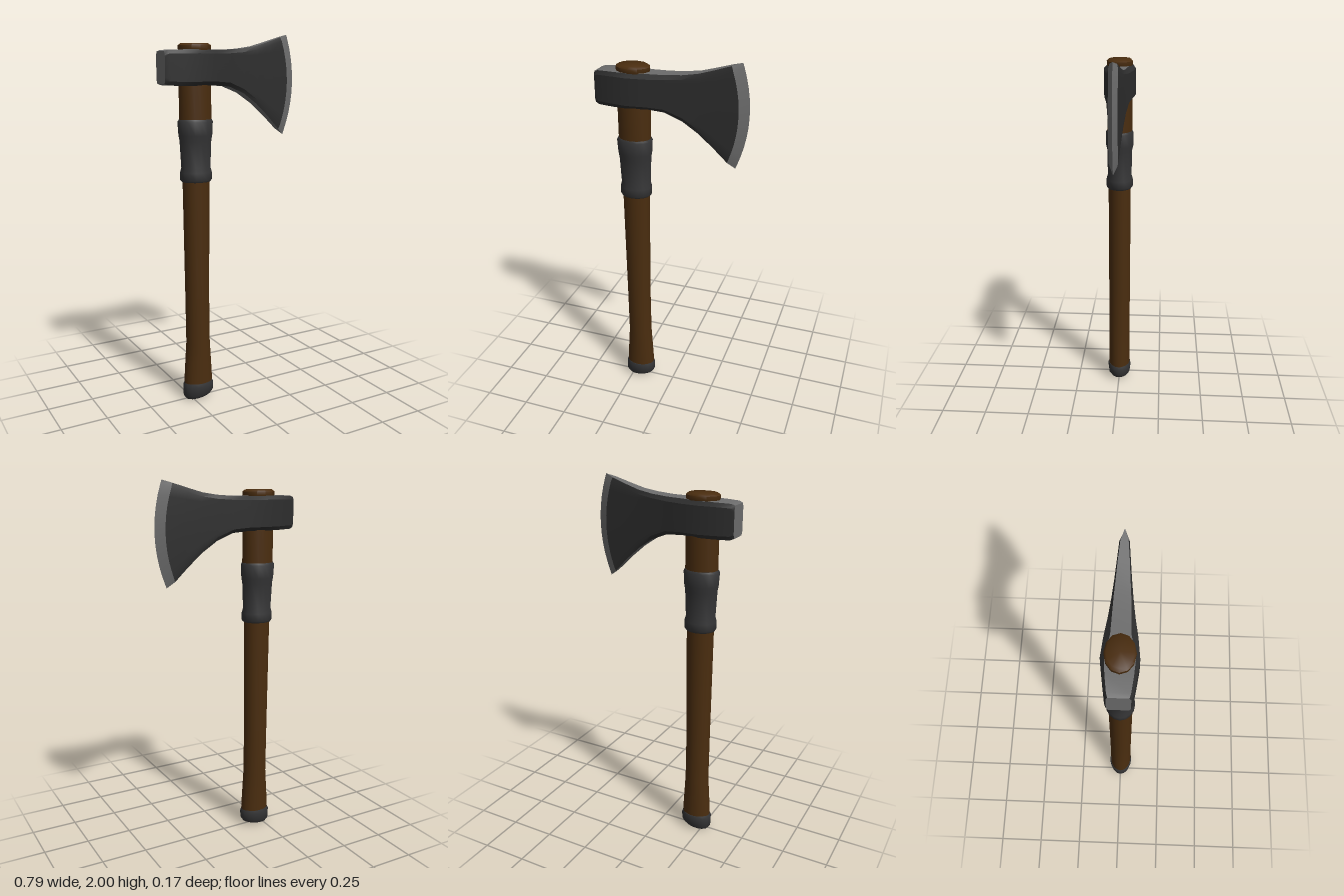
import * as THREE from 'three';
import { toCreasedNormals } from 'three/addons/utils/BufferGeometryUtils.js';

const mat = (name, color) => {
  const m = new THREE.MeshStandardMaterial({ color });
  m.name = name;
  return m;
};

// Quad patches from rows of points, skipping collapsed triangles
function patches(list, crease) {
  const out = [];
  const tri = (...p) => {
    const n = p[1].clone().sub(p[0]).cross(p[2].clone().sub(p[0]));
    if (n.length() > 1e-9) p.forEach(v => out.push(v.x, v.y, v.z));
  };
  for (const rows of list)
    for (let i = 0; i < rows.length - 1; i++)
      for (let j = 0; j < rows[i].length - 1; j++) {
        const a = rows[i][j], b = rows[i + 1][j], c = rows[i + 1][j + 1], d = rows[i][j + 1];
        tri(a, b, c);
        tri(a, c, d);
      }
  const g = new THREE.BufferGeometry();
  g.setAttribute('position', new THREE.Float32BufferAttribute(out, 3));
  return toCreasedNormals(g, crease);
}

// Closed elliptical shaft; each ring is [y, xMin, xMax, zRadius, tilt]
function shaft(rings, sides = 16) {
  const rows = rings.map(([y, x0, x1, rz, tilt = 0]) =>
    Array.from({ length: sides + 1 }, (_, j) => {
      const a = (j % sides) / sides * Math.PI * 2, c = Math.cos(a);
      return new THREE.Vector3((x0 + x1) / 2 + (x1 - x0) / 2 * c, y + tilt * c, rz * Math.sin(a));
    }));
  const centre = ([y, x0, x1]) => Array(sides + 1).fill(new THREE.Vector3((x0 + x1) / 2, y, 0));
  return patches([[centre(rings[0]), ...rows, centre(rings.at(-1))]], 0.8);
}

// Head stations: [xTop, xBottom, bulge, yTop, yBottom, sideZ, stripZ]
const stations = [
  [-0.40, -0.40, 0, 1.905, 1.745, 0.054, 0.046],
  [-0.38, -0.38, 0, 1.912, 1.737, 0.063, 0.052],
  [-0.30, -0.30, 0, 1.914, 1.735, 0.075, 0.062],
  [-0.22, -0.22, 0, 1.915, 1.735, 0.086, 0.068],
  [-0.12, -0.12, 0, 1.915, 1.735, 0.075, 0.046],
  [-0.03, -0.03, 0, 1.917, 1.728, 0.060, 0.042],
  [0.06, 0.06, 0.004, 1.924, 1.692, 0.048, 0.038],
  [0.14, 0.14, 0.012, 1.937, 1.637, 0.039, 0.032],
  [0.22, 0.22, 0.025, 1.960, 1.567, 0.031, 0.026],
  [0.30, 0.295, 0.047, 1.985, 1.492, 0.023, 0.018],
  [0.35, 0.335, 0.052, 2.0, 1.46, 0, 0],
];

// One side of a station, bottom to top, with bevelled corners
function sideOf([xt, xb, bulge, yt, yb, zs, zt], sign) {
  const steps = 10, bevel = 0.02 / (yt - yb);
  const pts = [];
  for (let k = 0; k <= steps + 2; k++) {
    const end = k === 0 || k === steps + 2;
    const t = end ? (k ? 1 : 0) : bevel + (1 - 2 * bevel) * (k - 1) / steps;
    pts.push(new THREE.Vector3(
      xb + (xt - xb) * t + bulge * 4 * t * (1 - t),
      yb + (yt - yb) * t,
      sign * (end ? zt : zs)));
  }
  return pts;
}

export function createModel() {
  const wood = mat('wood', 0x4a2d0f);
  const forged = mat('forged iron', 0x2d2d2d);
  const steel = mat('ground steel', 0x6c6c6c);
  const wrap = mat('grip wrap', 0x343435);

  const group = new THREE.Group();
  group.name = 'axe';
  const add = (name, geometry, material) => {
    const m = new THREE.Mesh(geometry, material);
    m.name = name;
    group.add(m);
  };

  // Wooden handle, flared towards the foot
  add('handle', shaft([
    [0.07, -0.29, -0.125, 0.063], [0.12, -0.288, -0.127, 0.063], [0.22, -0.281, -0.133, 0.062],
    [0.33, -0.273, -0.14, 0.062], [0.6, -0.275, -0.142, 0.062], [1.24, -0.282, -0.135, 0.063],
    [1.56, -0.296, -0.122, 0.069], [1.91, -0.298, -0.121, 0.068],
  ]), wood);

  // Handle end standing out of the eye
  add('handleTop', shaft([
    [1.90, -0.29, -0.13, 0.064], [1.918, -0.30, -0.12, 0.07],
    [1.936, -0.30, -0.12, 0.07], [1.946, -0.285, -0.135, 0.06],
  ], 12), wood);

  // Grip sleeve with a raised band at each end
  add('grip', shaft([
    [1.235, -0.288, -0.13, 0.068], [1.245, -0.295, -0.122, 0.075], [1.285, -0.295, -0.122, 0.074],
    [1.31, -0.288, -0.129, 0.067], [1.45, -0.296, -0.123, 0.069], [1.48, -0.301, -0.118, 0.076],
    [1.55, -0.306, -0.114, 0.077], [1.562, -0.298, -0.12, 0.071],
  ]), wrap);

  // Slanted foot cap
  add('footCap', shaft([
    [0.01, -0.283, -0.133, 0.05, 0.01], [0.03, -0.296, -0.12, 0.064, 0.01],
    [0.08, -0.296, -0.12, 0.07], [0.097, -0.287, -0.127, 0.066],
  ]), wrap);

  // Axe head
  const left = stations.map(s => sideOf(s, 1));
  const right = stations.map(s => sideOf(s, -1));
  const last = left[0].length - 1;
  const flip = rows => rows.map(r => [...r].reverse());
  add('headCheeks', patches([left.slice(0, -1), flip(right.slice(0, -1))], 0.45), forged);
  add('headTopAndUnderside', patches([
    left.map((r, i) => [r[last], right[i][last]]),
    left.map((r, i) => [right[i][0], r[0]]),
  ], 0.45), steel);
  add('poll', patches([left[0].map((p, k) => [p, right[0][k]])], 0.45), steel);
  add('cuttingEdge', patches([left.slice(-2), flip(right.slice(-2))], 0.45), steel);

  return group;
}
